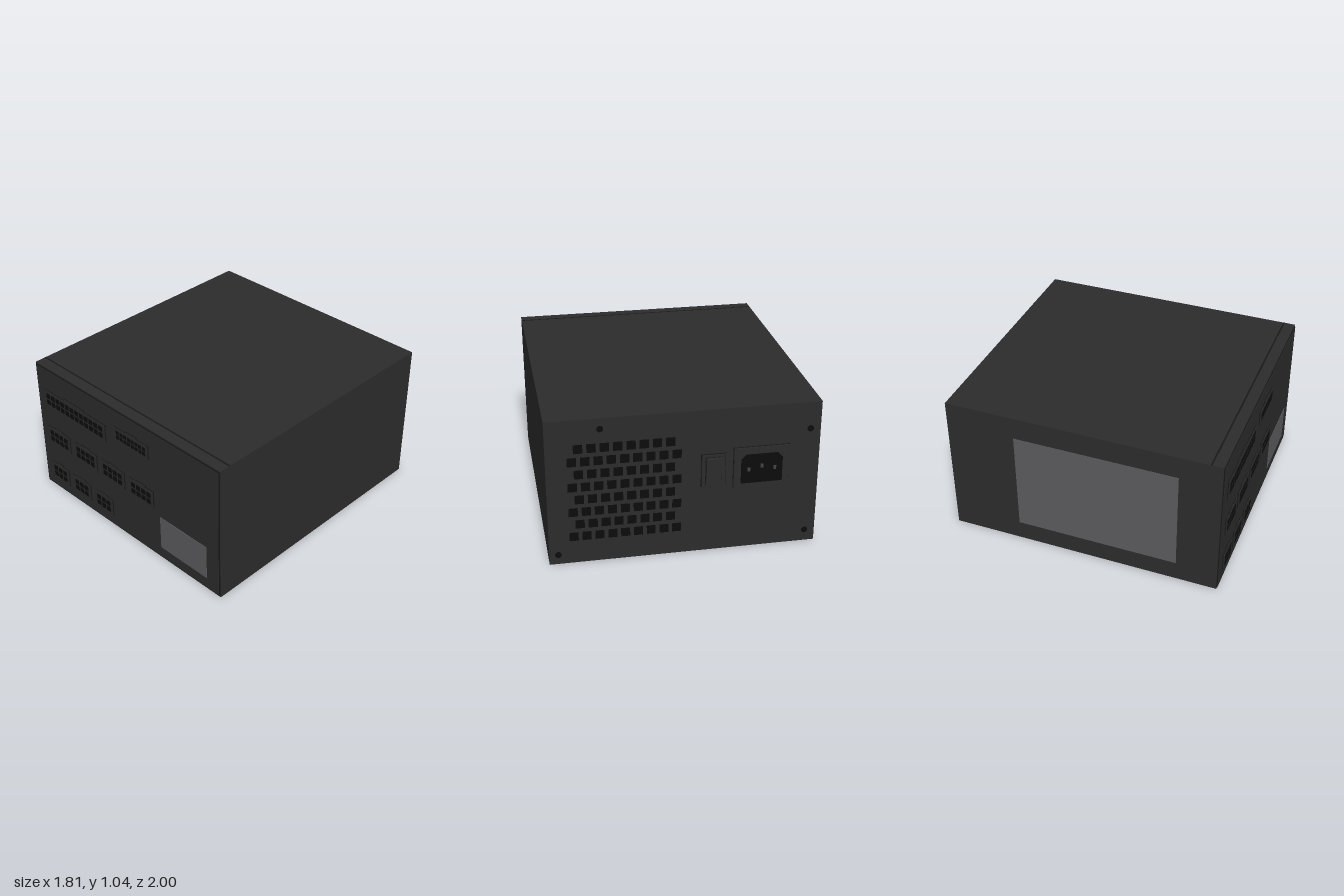
import * as THREE from 'three';

const mat = (name, color, side = THREE.FrontSide) => {
  const m = new THREE.MeshStandardMaterial({ color, side });
  m.name = name;
  return m;
};

export function createModel() {
  const root = new THREE.Group();
  root.name = 'powerSupply';
  const body = mat('caseCharcoal', 0x2c2c2c);
  const trim = mat('seamBlack', 0x181818);
  const hole = mat('openingBlack', 0x0c0c0c);
  const label = mat('labelGrey', 0x5c5c5f);
  const fanMat = mat('fanGrey', 0x303032, THREE.DoubleSide);
  const pinMat = mat('pinGrey', 0x444446);

  const add = (name, geo, m, parent = root) => {
    const mesh = new THREE.Mesh(geo, m);
    mesh.name = name;
    parent.add(mesh);
    return mesh;
  };
  // Box given by its minimum and maximum on each axis
  const box = (name, m, x0, x1, y0, y1, z0, z1, parent = root) => {
    const mesh = add(name, new THREE.BoxGeometry(x1 - x0, y1 - y0, z1 - z0), m, parent);
    mesh.position.set((x0 + x1) / 2, (y0 + y1) / 2, (z0 + z1) / 2);
    return mesh;
  };
  const group = (name) => {
    const g = new THREE.Group();
    g.name = name;
    root.add(g);
    return g;
  };

  // Case: solid upper part over a lower part with a round fan well
  const W = 0.905, H = 1.04, ZB = -0.96, ZF = 0.98, WELL = 0.3, R = 0.8, CZ = 0.01;
  box('upperCase', body, -W, W, WELL, H, ZB, ZF);
  const outline = new THREE.Shape([
    new THREE.Vector2(-W, -ZF), new THREE.Vector2(W, -ZF),
    new THREE.Vector2(W, -ZB), new THREE.Vector2(-W, -ZB)]);
  outline.holes.push(new THREE.Path().absarc(0, -CZ, R, 0, Math.PI * 2, true));
  const lower = new THREE.ExtrudeGeometry(outline, { depth: WELL, bevelEnabled: false, curveSegments: 48 });
  lower.rotateX(-Math.PI / 2);
  add('lowerCase', lower, body);
  box('topSeam', trim, -W, W, H - 0.004, H + 0.001, 0.892, 0.904);

  // Front panel with dark edge
  box('frontPanelEdge', trim, -0.9, 0.9, 0.008, 1.032, ZF, 0.985);
  box('frontPanel', body, -0.892, 0.892, 0.016, 1.024, ZF, 0.988);
  box('frontLabel', label, 0.347, 0.784, 0.1, 0.365, 0.988, 0.991);

  // Modular sockets: left edge, bottom edge, columns, pin pitch, tab width
  const socket = (x, y, cols, p, tab) => {
    const g = group('socket');
    const w = cols * p + 0.028, h = 2 * p + 0.028, c = x + w / 2, e = 0.004;
    box('socketOutline', trim, x - e, x + w + e, y - e, y + h + e, 0.987, 0.994, g);
    box('socketBody', body, x, x + w, y, y + h, 0.987, 0.998, g);
    box('tabOutline', trim, c - tab / 2 - e, c + tab / 2 + e, y + h, y + h + 0.016, 0.987, 0.994, g);
    box('latchTab', body, c - tab / 2, c + tab / 2, y + h - 0.005, y + h + 0.012, 0.987, 0.997, g);
    for (let i = 0; i < cols; i++) {
      for (let j = 0; j < 2; j++) {
        const px = x + 0.014 + (i + 0.5) * p, py = y + 0.014 + (j + 0.5) * p, s = p * 0.38;
        box('pinHole', hole, px - s, px + s, py - s, py + s, 0.996, 1, g);
      }
    }
  };
  socket(-0.813, 0.728, 12, 0.051, 0.2);
  socket(-0.066, 0.8, 8, 0.0368, 0.1);
  for (const x of [-0.813, -0.522, -0.233, 0.057]) socket(x, 0.414, 4, 0.051, 0.08);
  for (const x of [-0.813, -0.57, -0.328]) socket(x, 0.098, 3, 0.051, 0.055);

  // Side label
  box('sideLabel', label, -W - 0.002, -W + 0.002, 0.14, 0.877, -0.467, 0.69);

  // Rear vent: staggered rows of openings
  const vent = group('rearVent');
  for (let r = 0; r < 8; r++) {
    const n = r % 2 ? 9 : 8;
    for (let i = 0; i < n; i++) {
      const x = 0.395 + (i - (n - 1) / 2) * 0.0855, y = 0.835 - r * 0.091;
      box('ventHole', hole, x - 0.03, x + 0.03, y - 0.031, y + 0.031, ZB - 0.002, ZB + 0.002, vent);
    }
  }

  // Rear screws
  for (const [x, y] of [[0.55, 0.965], [0.845, 0.07], [-0.836, 0.85], [-0.836, 0.082]]) {
    const s = add('rearScrew', new THREE.CylinderGeometry(0.022, 0.022, 0.006, 20), hole);
    s.rotation.x = Math.PI / 2;
    s.position.set(x, y, ZB);
  }

  // Rocker switch
  const sw = group('powerSwitch');
  box('switchOutline', trim, -0.271, -0.106, 0.486, 0.724, -0.964, ZB, sw);
  box('switchFrame', body, -0.266, -0.111, 0.491, 0.719, -0.972, ZB, sw);
  box('rockerOutline', trim, -0.244, -0.133, 0.506, 0.704, -0.974, ZB, sw);
  box('rockerLower', body, -0.24, -0.137, 0.51, 0.61, -0.985, ZB, sw);
  box('rockerUpper', body, -0.24, -0.137, 0.61, 0.7, -1, ZB, sw);

  // Mains inlet with chamfered opening and three pins
  const inlet = group('mainsInlet');
  box('inletOutline', trim, -0.704, -0.321, 0.456, 0.754, -0.964, ZB, inlet);
  box('inletFrame', body, -0.7, -0.325, 0.46, 0.75, -0.974, ZB, inlet);
  const mouth = new THREE.Shape([
    [-0.14, -0.105], [0.14, -0.105], [0.14, 0.07], [0.105, 0.105], [-0.105, 0.105], [-0.14, 0.07],
  ].map(([x, y]) => new THREE.Vector2(x, y)));
  const opening = add('inletOpening', new THREE.ExtrudeGeometry(mouth, { depth: 0.004, bevelEnabled: false }), hole, inlet);
  opening.position.set(-0.512, 0.598, -0.977);
  for (const [i, x] of [-0.6, -0.512, -0.424].entries()) {
    const y = i === 1 ? 0.615 : 0.595;
    box('inletPin', pinMat, x - 0.009, x + 0.009, y - 0.014, y + 0.014, -0.98, -0.974, inlet);
  }

  // Fan inside the well: dark floor, hub and swept blades
  const fan = group('fan');
  fan.position.z = CZ;
  const floor = add('fanWellFloor', new THREE.CircleGeometry(R, 64), trim, fan);
  floor.rotation.x = Math.PI / 2;
  floor.position.y = WELL - 0.004;
  const hub = add('fanHub', new THREE.CylinderGeometry(0.24, 0.24, 0.24, 40), fanMat, fan);
  hub.position.y = 0.17;
  const blade = new THREE.PlaneGeometry(1, 1, 12, 6);
  const pos = blade.attributes.position;
  for (let i = 0; i < pos.count; i++) {
    const u = pos.getX(i) + 0.5, v = pos.getY(i);
    const r = 0.22 + 0.54 * u;
    const a = 0.55 * u * u + v * (0.85 - 0.1 * u);
    pos.setXYZ(i, r * Math.cos(a), 0.16 + v * (0.2 - 0.06 * u) + 0.05 * v * v, r * Math.sin(a));
  }
  blade.computeVertexNormals();
  for (let i = 0; i < 7; i++) add('fanBlade', blade, fanMat, fan).rotation.y = (i * Math.PI * 2) / 7;

  // Wire guard: concentric rings, centre disc and four spokes
  const guard = group('fanGuard');
  guard.position.set(0, 0.009, CZ);
  for (const r of [0.795, 0.65, 0.48, 0.33, 0.22]) {
    add('guardRing', new THREE.TorusGeometry(r, 0.009, 8, 72), trim, guard).rotation.x = Math.PI / 2;
  }
  add('guardDisc', new THREE.CylinderGeometry(0.2, 0.2, 0.01, 40), trim, guard);
  for (let i = 0; i < 4; i++) {
    const a = (i * Math.PI) / 2;
    const s = add('guardSpoke', new THREE.CylinderGeometry(0.009, 0.009, 0.62, 8), trim, guard);
    s.rotation.set(0, -a, Math.PI / 2);
    s.position.set(0.5 * Math.cos(a), 0.002, 0.5 * Math.sin(a));
  }
  return root;
}
